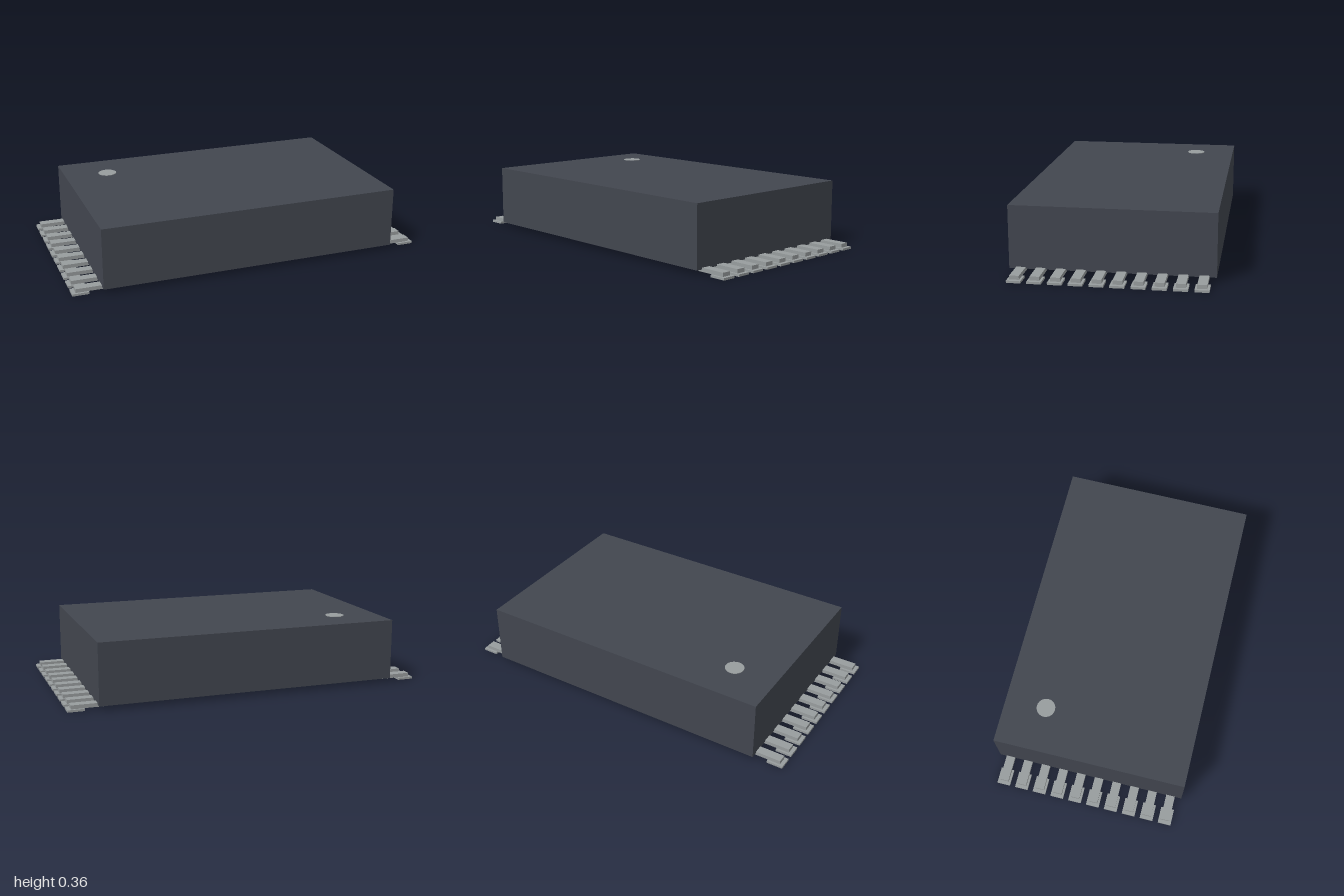
import * as THREE from 'three';

export function createModel() {
  const group = new THREE.Group();
  group.name = 'chipPackage';

  const plastic = new THREE.MeshStandardMaterial({ color: 0x42464f });
  plastic.name = 'dark slate plastic';
  const metal = new THREE.MeshStandardMaterial({ color: 0x989d9e });
  metal.name = 'grey metal';

  // Box given by its minimum and maximum corners
  const box = (name, material, [x0, y0, z0], [x1, y1, z1], parent) => {
    const mesh = new THREE.Mesh(new THREE.BoxGeometry(x1 - x0, y1 - y0, z1 - z0), material);
    mesh.position.set((x0 + x1) / 2, (y0 + y1) / 2, (z0 + z1) / 2);
    mesh.name = name;
    parent.add(mesh);
  };

  // Moulded body
  box('body', plastic, [-0.84, 0.024, -0.535], [0.84, 0.36, 0.535], group);

  // Round orientation mark near the back right corner
  const mark = new THREE.Mesh(new THREE.CylinderGeometry(0.052, 0.052, 0.004, 20), metal);
  mark.position.set(-0.594, 0.361, -0.305);
  mark.name = 'orientationMark';
  group.add(mark);

  // Ten pins on each side: a narrow lead resting on a wider foot pad
  const pinCount = 10, pitch = 0.105;
  for (const side of [-1, 1]) {
    const row = new THREE.Group();
    row.name = side > 0 ? 'leftPins' : 'rightPins';
    for (let i = 0; i < pinCount; i++) {
      const pin = new THREE.Group();
      pin.name = 'pin';
      pin.position.z = (i - (pinCount - 1) / 2) * pitch;
      box('lead', metal, [0.81, 0.012, -0.025], [0.98, 0.033, 0.025], pin);
      box('footPad', metal, [0.91, 0, -0.037], [1, 0.012, 0.037], pin);
      row.add(pin);
    }
    // Half turn keeps face winding correct on the opposite side
    if (side < 0) row.rotation.y = Math.PI;
    group.add(row);
  }

  return group;
}
